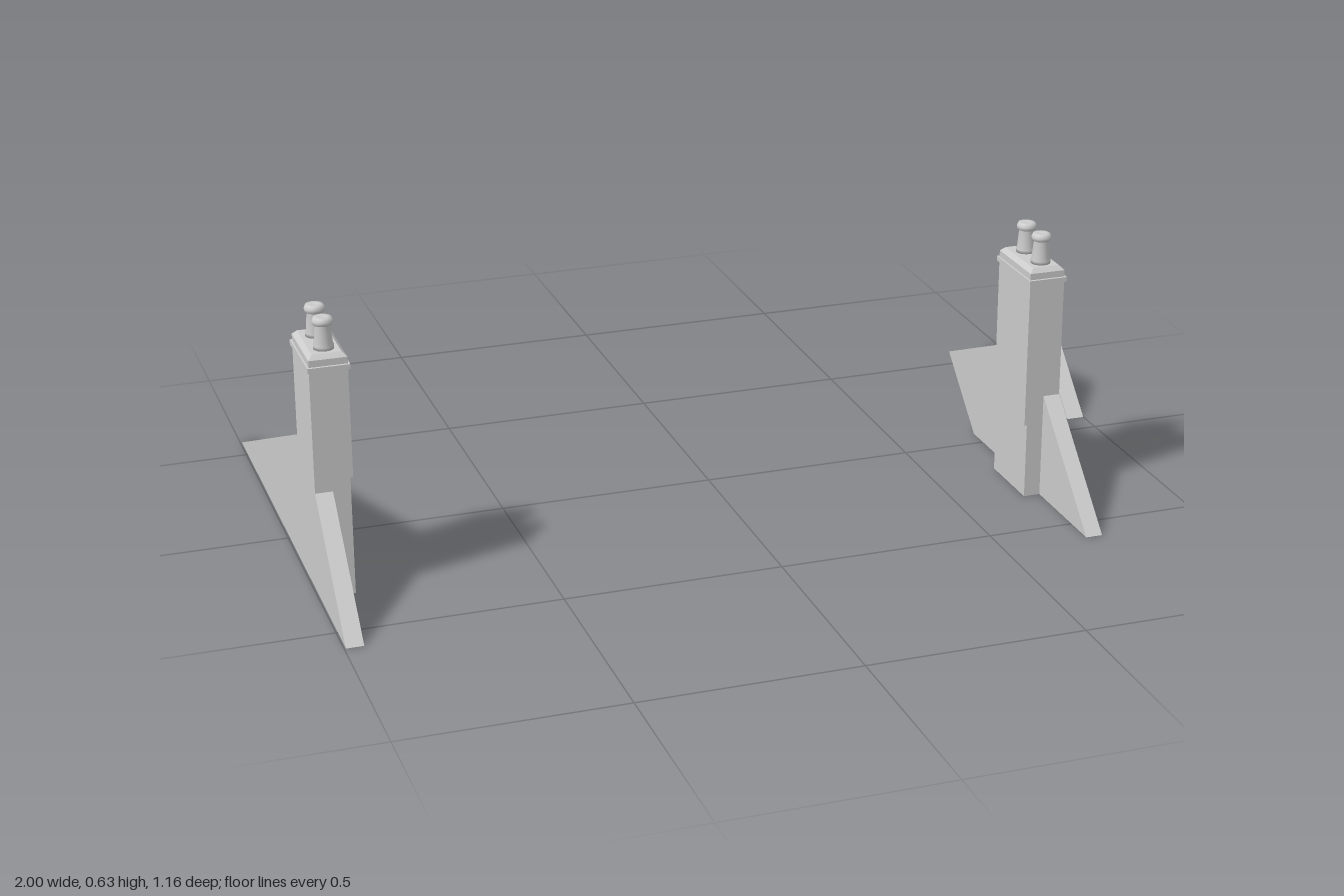
import * as THREE from 'three';

const material = new THREE.MeshStandardMaterial({ color: 0xcccccc });

function addMesh(parent, name, geometry) {
  const mesh = new THREE.Mesh(geometry, material);
  mesh.name = name;
  parent.add(mesh);
  return mesh;
}

// Box given by its two corners
function addBlock(parent, name, [x0, y0, z0], [x1, y1, z1]) {
  const geometry = new THREE.BoxGeometry(Math.abs(x1 - x0), y1 - y0, z1 - z0);
  addMesh(parent, name, geometry).position.set((x0 + x1) / 2, (y0 + y1) / 2, (z0 + z1) / 2);
}

// Flat panel: outline of [z, y] points, extruded from x0 to x1
function addPanel(parent, name, outline, x0, x1) {
  const shape = new THREE.Shape(outline.map(([z, y]) => new THREE.Vector2(z, y)));
  const geometry = new THREE.ExtrudeGeometry(shape, { depth: Math.abs(x1 - x0), bevelEnabled: false });
  geometry.rotateY(-Math.PI / 2);
  geometry.translate(Math.max(x0, x1), 0, 0);
  addMesh(parent, name, geometry);
}

const BACK = 0.154, FRONT = 0.325, MID = (BACK + FRONT) / 2;
const HALF = 0.042; // half width of the stack

// Chimney pot: tapered body with a flared, rounded rim
const potProfile = [
  [0, 0], [0.0225, 0], [0.0225, 0.008], [0.0205, 0.012], [0.017, 0.053], [0.0195, 0.054],
  [0.0225, 0.058], [0.0225, 0.063], [0.0195, 0.07], [0.012, 0.071], [0, 0.069],
].map(([r, y]) => new THREE.Vector2(r, y));

// Gable wall with chimney; outer is the x direction of the flush side
function addChimneyWall(parent, name, x, outer, step, tail) {
  const group = new THREE.Group();
  group.name = name;
  group.position.x = x;
  parent.add(group);

  // Wall is notched where the upper stack sits in it
  const wallOutline = [
    [0.578, 0], [FRONT, 0.246], [FRONT, step], [BACK, step], [BACK, 0.315], ...tail,
  ];
  const wallInner = outer * 0.003;
  addPanel(group, 'gableWall', wallOutline, wallInner, outer * HALF);

  // Breast below the step, slightly set back from the stack
  addBlock(group, 'chimneyBreast', [-outer * (HALF - 0.006), 0, BACK], [wallInner, step, FRONT]);
  addBlock(group, 'chimneyStack', [-HALF, step, BACK], [HALF, 0.549, FRONT]);
  addBlock(group, 'stackBand', [-0.046, 0.523, BACK - 0.006], [0.046, 0.534, FRONT + 0.006]);

  // Sloped mortar top
  const cap = new THREE.BoxGeometry(HALF * 2, 0.01, FRONT - BACK);
  const p = cap.attributes.position;
  for (let i = 0; i < p.count; i++) {
    if (p.getY(i) > 0) {
      p.setX(i, Math.sign(p.getX(i)) * (HALF - 0.01));
      p.setZ(i, Math.sign(p.getZ(i)) * ((FRONT - BACK) / 2 - 0.01));
    }
  }
  const flatCap = cap.toNonIndexed();
  flatCap.computeVertexNormals();
  addMesh(group, 'stackTop', flatCap).position.set(0, 0.554, MID);

  for (const dz of [-0.04, 0.04]) {
    const pot = addMesh(group, 'chimneyPot', new THREE.LatheGeometry(potProfile, 16));
    pot.position.set(0, 0.559, 0.244 + dz);
  }
}

export function createModel() {
  const model = new THREE.Group();
  model.name = 'gableChimneys';

  // Full gable, and a second one cut off at the rear
  addChimneyWall(model, 'fullGable', -0.954, -1, 0.273, [[-0.578, 0]]);
  addChimneyWall(model, 'cutGable', 0.699, 1, 0.178, [[-0.22, 0.154], [-0.055, 0]]);

  // Separate rear end of the gable
  addPanel(model, 'gableEnd', [[-0.065, 0], [-0.223, 0.154], [-0.578, 0]], 0.958, 1);
  return model;
}
